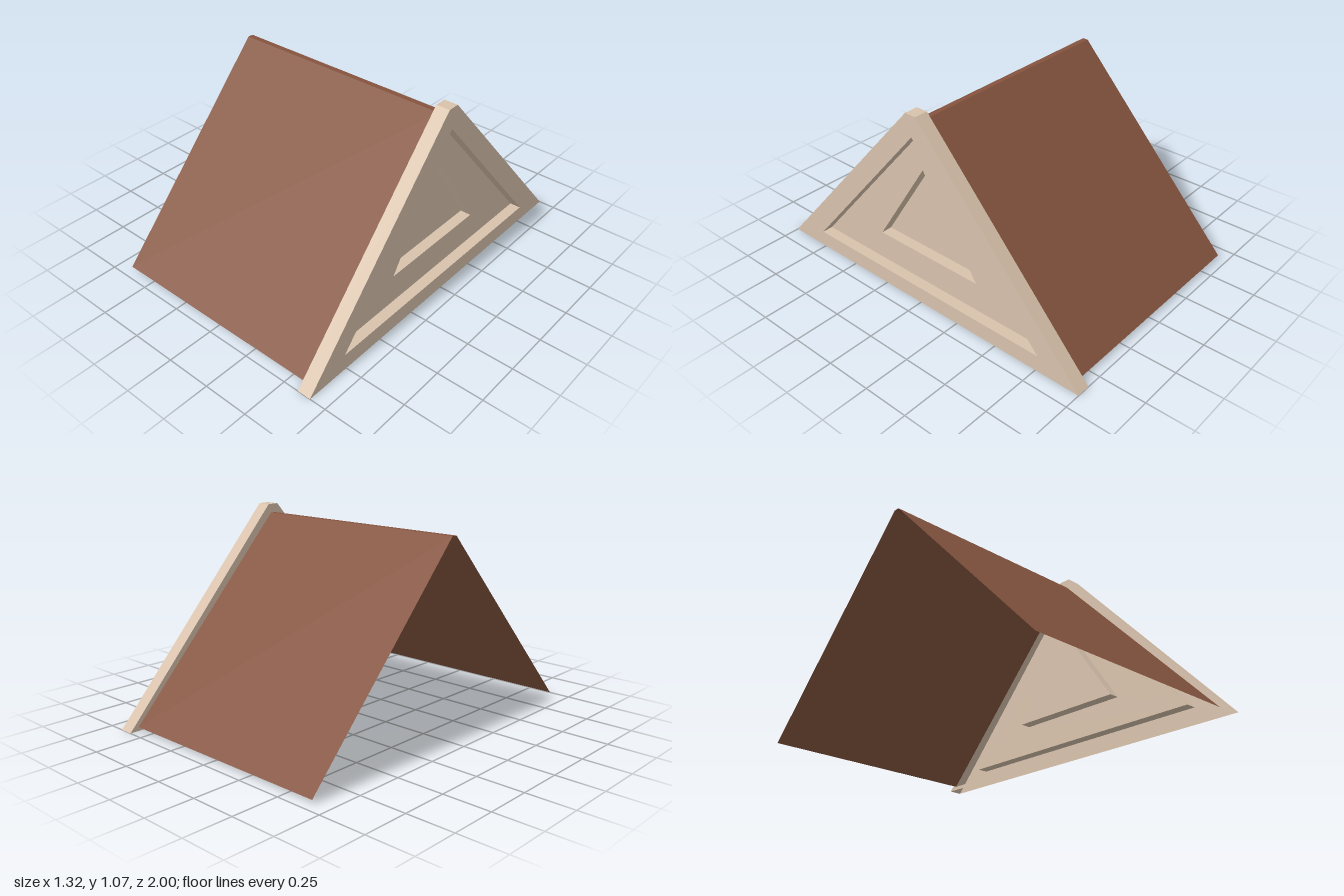
import * as THREE from 'three';

// Profiles are lists of [z, y] points; every part is a profile placed along x.
const OUTLINE = [[1, 0], [0.032, 1.07], [-0.032, 1.07], [-1, 0]];
const ROOF = [[0.95, 0.02], [0.015, 1.022], [-0.015, 1.022], [-0.95, 0.02]];
const PANEL = [[-0.76, 0.09], [0, 0.955], [0.76, 0.09]];
const INNER = [[-0.33, 0.25], [0, 0.753], [0.33, 0.25]];
const LEFT_END = -0.66, BACK = 0.585, FACE = 0.66, DEPTH = 0.06;

// Strip of flat faces joining a profile at x0 to the same profile at x1
function band(points, x0, x1, closed = false) {
  const pos = [];
  const n = closed ? points.length : points.length - 1;
  for (let i = 0; i < n; i++) {
    const [az, ay] = points[i];
    const [bz, by] = points[(i + 1) % points.length];
    pos.push(x0, ay, az, x1, ay, az, x1, by, bz);
    pos.push(x0, ay, az, x1, by, bz, x0, by, bz);
  }
  const g = new THREE.BufferGeometry();
  g.setAttribute('position', new THREE.Float32BufferAttribute(pos, 3));
  g.computeVertexNormals();
  return g;
}

// Flat plate facing +x, with an optional hole
function plate(points, x, hole) {
  const toVec = (p) => p.map(([z, y]) => new THREE.Vector2(-z, y));
  const shape = new THREE.Shape(toVec(points));
  if (hole) shape.holes.push(new THREE.Path(toVec(hole)));
  return new THREE.ShapeGeometry(shape).rotateY(Math.PI / 2).translate(x, 0, 0);
}

export function createModel() {
  const roofBrown = new THREE.MeshStandardMaterial({ color: 0x85543f, side: THREE.DoubleSide });
  roofBrown.name = 'roofBrown';
  const gableCream = new THREE.MeshStandardMaterial({ color: 0xd8c2ac, side: THREE.DoubleSide });
  gableCream.name = 'gableCream';

  const model = new THREE.Group();
  model.name = 'gableRoof';
  const add = (parent, name, geometry, material) => {
    const mesh = new THREE.Mesh(geometry, material);
    mesh.name = name;
    parent.add(mesh);
  };

  // Two slopes and the narrow flat ridge, open underneath
  add(model, 'roofSlopes', band(ROOF, LEFT_END, BACK), roofBrown);

  // Gable end: outer rim open at the bottom, with two stepped triangular recesses
  const gable = new THREE.Group();
  gable.name = 'gable';
  model.add(gable);
  add(gable, 'gableRim', band(OUTLINE, BACK, FACE), gableCream);
  add(gable, 'gableBackLip', plate(OUTLINE, BACK, ROOF), gableCream);
  add(gable, 'gableFace', plate(OUTLINE, FACE, PANEL), gableCream);
  add(gable, 'panelSides', band(PANEL, FACE - DEPTH, FACE, true), gableCream);
  add(gable, 'panel', plate(PANEL, FACE - DEPTH, INNER), gableCream);
  add(gable, 'innerPanelSides', band(INNER, FACE - 2 * DEPTH, FACE - DEPTH, true), gableCream);
  add(gable, 'innerPanel', plate(INNER, FACE - 2 * DEPTH), gableCream);

  return model;
}
